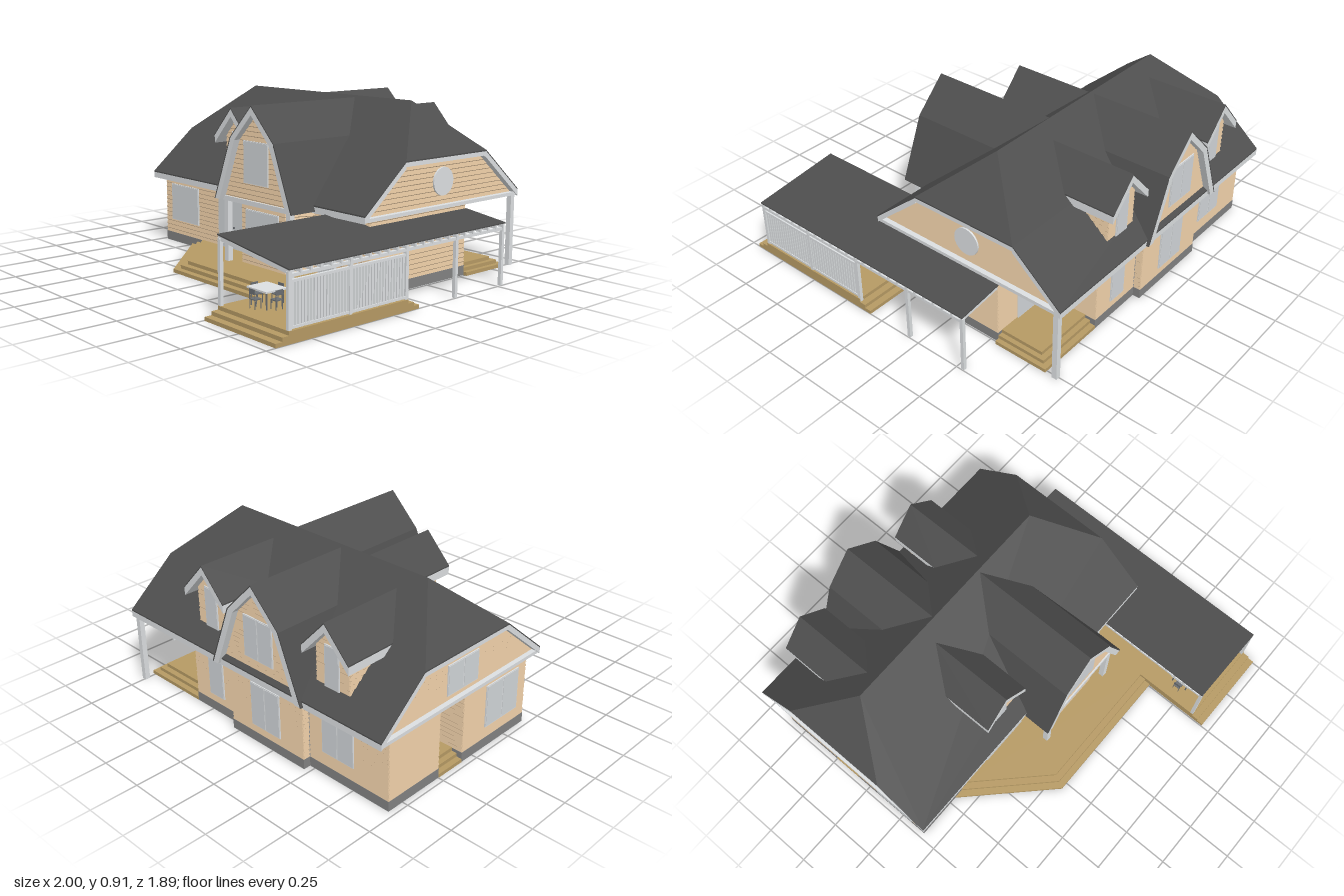
import * as THREE from 'three';

const mat = (name, color) => Object.assign(new THREE.MeshStandardMaterial({ color }), { name });

export function createModel() {
  const siding = mat('tan siding', 0xe6c8a2), trim = mat('pale trim', 0xdcdfe1), glass = mat('window glass', 0xd2d6d9);
  const roofMat = mat('dark roof', 0x4e4e4e), wood = mat('deck wood', 0xb69a64);
  const stone = mat('foundation grey', 0x828282), dark = mat('dark metal', 0x6a6e72);
  const house = new THREE.Group();
  house.name = 'house';

  const add = (name, geo, m, parent = house) => {
    const mesh = new THREE.Mesh(geo, m);
    mesh.name = name;
    parent.add(mesh);
    return mesh;
  };
  const group = (name, x, y, z, rot = 0, parent = house) => {
    const g = new THREE.Group();
    g.name = name;
    g.position.set(x, y, z);
    g.rotation.y = rot;
    parent.add(g);
    return g;
  };
  const facets = out => {
    const geo = new THREE.BufferGeometry().setAttribute('position', new THREE.Float32BufferAttribute(out, 3));
    geo.computeVertexNormals();
    return geo;
  };
  // box given by its min and max corners
  const box = (x0, x1, y0, y1, z0, z1) =>
    new THREE.BoxGeometry(x1 - x0, y1 - y0, z1 - z0).translate((x0 + x1) / 2, (y0 + y1) / 2, (z0 + z1) / 2);
  // plan outline (x, z) raised from y0 to y1
  const prism = (pts, y0, y1) =>
    new THREE.ExtrudeGeometry(new THREE.Shape(pts.map(([x, z]) => new THREE.Vector2(x, -z))),
      { depth: y1 - y0, bevelEnabled: false }).rotateX(-Math.PI / 2).translate(0, y0, 0);

  // lapped-board wall, convex outline in its own x/y plane, facing local +z
  const wall = (name, pts, x, z, rot, parent = house) => {
    const ys = pts.map(p => p[1]), lo = Math.min(...ys) + 1e-5, hi = Math.max(...ys) - 1e-5;
    const row = (y, depth) => {
      y = Math.min(Math.max(y, lo), hi);
      const xs = [];
      pts.forEach((a, i) => {
        const b = pts[(i + 1) % pts.length];
        if ((a[1] > y) !== (b[1] > y)) xs.push(a[0] + (b[0] - a[0]) * (y - a[1]) / (b[1] - a[1]));
      });
      return [[Math.min(...xs), y, depth], [Math.max(...xs), y, depth]];
    };
    const rows = [], out = [];
    for (let y = lo; y < hi; y += 0.025) rows.push(row(y, 0), row(y + 0.021, -0.004));
    rows.push(row(hi, 0));
    for (let i = 1; i < rows.length; i++) {
      const [a, b] = rows[i - 1], [d, c] = rows[i];
      if (c[1] > b[1]) out.push(...a, ...b, ...c, ...a, ...c, ...d);
    }
    add(name, facets(out), siding, group(name, x, 0, z, rot, parent));
  };

  // window or door: frame, panes, all facing local +z
  const opening = (name, x, y0, y1, z, rot, w, panes = 1, parent = house) => {
    const g = group(name, x, 0, z, rot, parent);
    add('frame', box(-w / 2, w / 2, y0, y1, 0, 0.006), trim, g);
    const pw = w / panes;
    for (let i = 0; i < panes; i++) {
      const c = -w / 2 + pw * (i + 0.5);
      add('pane', box(c - pw / 2 + 0.004, c + pw / 2 - 0.004, y0 + 0.005, y1 - 0.005, 0.005, 0.008), glass, g);
    }
    return g;
  };

  // slab: convex polygon swept along an offset vector
  const slab = (name, pts, off, m, parent) => {
    const p = pts.map(a => new THREE.Vector3(...a));
    const o = new THREE.Vector3(...off);
    const n = p[1].clone().sub(p[0]).cross(p[2].clone().sub(p[0]));
    if (n.dot(o) > 0) p.reverse();
    const q = p.map(a => a.clone().add(o)), out = [];
    const tri = (...v) => v.forEach(a => out.push(a.x, a.y, a.z));
    p.forEach((a, i) => {
      const j = (i + 1) % p.length;
      if (i > 0 && i < p.length - 1) { tri(p[0], a, p[j]); tri(q[0], q[j], q[i]); }
      tri(a, q[i], q[j]);
      tri(a, q[j], p[j]);
    });
    add(name, facets(out), m, parent);
  };
  // dark covering over a pale board
  const roofPlane = (name, pts, dir, t, parent = house) => {
    slab(name, pts, dir.map(d => d * 0.007), roofMat, parent);
    slab(name + ' edge', pts.map(p => p.map((c, i) => c + dir[i] * 0.007)), dir.map(d => d * t), trim, parent);
  };
  const down = [0, -1, 0];

  // walls round the plan, with foundation and pale underside
  const plan = [[-0.97, 0.155], [-0.115, 0.155], [-0.055, 0.3], [0.295, 0.3], [0.355, 0.155], [0.745, 0.155],
    [0.745, -0.54], [0.37, -0.54], [0.37, -0.845], [0.04, -0.845], [0.04, -0.885], [-0.47, -0.885],
    [-0.47, -0.845], [-0.97, -0.845], [-0.97, -0.5], [-0.82, -0.5], [-0.82, -0.33], [-0.97, -0.33]];
  plan.forEach(([x, z], i) => {
    const [x2, z2] = plan[(i + 1) % plan.length], len = Math.hypot(x2 - x, z2 - z);
    wall('wall', [[0, 0.05], [len, 0.05], [len, 0.395], [0, 0.395]], x, z, Math.atan2(z - z2, x2 - x));
  });
  const base = plan.filter((p, i) => i < 1 || i > 4);
  add('foundation', prism(base, 0.002, 0.054), stone);
  add('floorUnderside', prism(base, 0, 0.002), trim);

  // main roof with clipped gables
  const L = -1, R = 0.777, E = 0.42, H = 0.654, T = 0.91, ridgeZ = -0.355;
  const mirrorZ = z => 2 * ridgeZ - z;
  for (const f of [z => z, mirrorZ])
    roofPlane('mainRoof', [[L, E, f(0.22)], [R, E, f(0.22)], [R, H, f(-0.055)], [0.525, T, ridgeZ],
      [-0.75, T, ridgeZ], [L, H, f(-0.055)]], down, 0.032);
  for (const [x, rx, wx, s] of [[L, -0.75, -0.97, -1], [R, 0.525, 0.745, 1]]) {
    roofPlane('hipEnd', [[x, H, -0.055], [x, H, -0.655], [rx, T, ridgeZ]], down, 0.022);
    wall('endGable', [[-0.56, 0.4], [0.56, 0.4], [0.285, 0.64], [-0.285, 0.64]], wx, ridgeZ, s * Math.PI / 2);
  }
  add('soffit', box(L + 0.005, R - 0.005, 0.385, 0.403, -0.92, 0.215), trim);
  add('roundWindow', new THREE.CylinderGeometry(0.073, 0.073, 0.009, 24).rotateZ(Math.PI / 2).translate(0.75, 0.52, ridgeZ), trim);

  // depth at which a dormer plane runs into the main roof
  const hit = y => Math.min(0.22 - (y - E) / 0.852, 0.22) - 0.01;

  // small gabled dormers
  const dormer = (cx, back) => {
    const g = group('dormer', cx, 0, back ? 2 * ridgeZ : 0, back ? Math.PI : 0);
    for (const s of [-1, 1]) {
      roofPlane('dormerRoof', [[0, 0.845, 0.185], [s * 0.145, 0.69, 0.185], [s * 0.145, 0.69, hit(0.69)],
        [0, 0.845, hit(0.845)]], down, 0.042, g);
      wall('dormerSide', [[-0.12, 0.45], [0.12, 0.45], [0.12, 0.69], [-0.12, 0.69]], s * 0.105, 0.015, s * Math.PI / 2, g);
    }
    wall('dormerFront', [[-0.105, 0.45], [0.105, 0.45], [0.105, 0.69], [0, 0.8], [-0.105, 0.69]], 0, 0.135, 0, g);
    opening('dormerWindow', 0, 0.495, 0.71, 0.136, 0, 0.09, 1, g);
  };
  dormer(-0.295, false);
  dormer(-0.63, true);
  dormer(0.2, true);

  // large double-pitched gables, front and back
  const bigGable = (cx, zf, back) => {
    const g = group('bigGable', cx, 0, back ? 2 * ridgeZ : 0, back ? Math.PI : 0);
    for (const s of [-1, 1]) {
      const k = s * 0.175, e = s * 0.31;
      roofPlane('upperSlope', [[0, 0.9, zf], [k, 0.725, zf], [k, 0.725, hit(0.725)], [0, 0.9, hit(0.9)]], down, 0.042, g);
      roofPlane('lowerSlope', [[k, 0.725, zf], [e, 0.39, zf], [e, 0.39, hit(0.39)], [k, 0.725, hit(0.725)]], [-s, 0, 0], 0.035, g);
    }
    wall('gableFront', [[-0.285, 0.39], [0.285, 0.39], [0.15, 0.715], [0, 0.86], [-0.15, 0.715]], 0, zf - 0.035, 0, g);
    opening('gableWindow', 0, 0.495, 0.715, zf - 0.034, 0, 0.195, back ? 2 : 1, g);
    add('gableBand', box(-0.275, 0.275, 0.383, 0.408, 0.15, zf - 0.028), trim, g);
  };
  bigGable(0.12, 0.375, false);
  bigGable(-0.215, 0.235, true);

  // windows and doors
  opening('frontWindow', -0.77, 0.135, 0.35, 0.156, 0, 0.265);
  opening('bayWindow', 0.118, 0.135, 0.35, 0.301, 0, 0.265);
  opening('smallWindow', 0.612, 0.165, 0.31, 0.156, 0, 0.115);
  opening('sideDoor', 0.447, 0.057, 0.348, 0.156, 0, 0.125);
  const door = opening('frontDoor', -0.297, 0.057, 0.348, 0.156, 0, 0.295, 1);
  for (const x of [-0.072, 0.072]) add('doorLeafEdge', box(x - 0.001, x + 0.001, 0.06, 0.345, 0.006, 0.009), trim, door);
  add('doorHandle', box(-0.003, 0.006, 0.175, 0.185, 0.006, 0.016), dark, door);
  opening('backWindow', -0.215, 0.1, 0.34, -0.886, Math.PI, 0.2, 2);
  opening('backWindow', -0.66, 0.13, 0.34, -0.846, Math.PI, 0.2, 2);
  opening('backWindow', 0.2, 0.1, 0.34, -0.846, Math.PI, 0.11);
  opening('porchDoor', 0.53, 0.057, 0.34, -0.541, Math.PI, 0.14);
  opening('leftWindow', -0.971, 0.12, 0.35, -0.04, -Math.PI / 2, 0.25, 2);
  opening('leftDoor', -0.821, 0.057, 0.34, -0.415, -Math.PI / 2, 0.1);
  opening('leftGableWindow', -0.971, 0.43, 0.59, ridgeZ, -Math.PI / 2, 0.22, 2);

  // stepped decks
  for (let i = 0; i < 3; i++) {
    const y0 = i * 0.019, y1 = y0 + 0.019, d = i * 0.037;
    add('frontDeck', prism([[-0.71 + i * 0.05, 0.156], [-0.29 + i * 0.015, 0.575 - i * 0.035],
      [0.505, 0.575 - i * 0.035], [0.505, 0.156]], y0, y1), wood);
    add('patioDeck', prism([[0.505, 0.156], [0.505, 0.95 - d], [1, 0.95 - d], [1, 0.08 + d],
      [0.747, 0.08 + d], [0.747, 0.156]], y0, y1), wood);
    add('backPorchDeck', box(0.37, 0.765 - i * 0.025, y0, y1, -0.845 + i * 0.03, -0.54), wood);
    add('leftStep', box(-0.97 + i * 0.03, -0.82, y0, y1, -0.5, -0.33), wood);
  }

  // porch columns
  const column = (x, z, y0, y1, r) => add('column', box(x - r, x + r, y0, y1, z - r, z + r), trim);
  column(-0.13, 0.33, 0.057, 0.39, 0.015);
  column(0.37, 0.33, 0.057, 0.39, 0.015);
  column(0.755, -0.9, 0, 0.4, 0.014);

  // lean-to patio roof on rafters, beams and posts
  const slope = x => 0.388 - (x - 0.505) * 0.13;
  const lean = (x0, z0, z1) => slab('patioRoof', [[x0, slope(x0), z0], [1, slope(1), z0],
    [1, slope(1), z1], [x0, slope(x0), z1]], [0, -0.006, 0], roofMat, house);
  lean(0.505, 0.156, 0.875);
  lean(0.746, -0.545, 0.156);
  for (let i = 0; i <= 24; i++) {
    const z = -0.54 + i * 0.0583, x0 = z < 0.16 ? 0.746 : 0.506;
    slab('rafter', [[x0, slope(x0) - 0.006, z], [0.998, slope(0.998) - 0.006, z],
      [0.998, slope(0.998) - 0.006, z + 0.012], [x0, slope(x0) - 0.006, z + 0.012]], [0, -0.022, 0], trim, house);
  }
  add('outerBeam', box(0.978, 0.995, 0.285, 0.3, -0.54, 0.875), trim);
  add('innerBeam', box(0.507, 0.52, 0.345, 0.36, 0.16, 0.875), trim);
  [0.866, 0.515, 0.16, -0.185, -0.535].forEach(z => column(0.987, z, 0, 0.31, 0.009));
  column(0.515, 0.866, 0.05, 0.37, 0.009);
  column(0.515, 0.17, 0.05, 0.37, 0.009);

  // slatted screen along the patio
  for (let z = 0.18; z < 0.855; z += 0.018) add('slat', box(0.983, 0.991, 0.06, 0.265, z - 0.006, z + 0.006), trim);
  for (const y of [0.062, 0.262]) add('screenRail', box(0.98, 0.994, y, y + 0.012, 0.16, 0.866), trim);

  // patio table and chairs
  const table = group('table', 0.65, 0.057, 0.71);
  add('tableTop', box(-0.07, 0.07, 0.08, 0.088, -0.06, 0.06), trim, table);
  for (const x of [-0.055, 0.055]) for (const z of [-0.045, 0.045])
    add('tableLeg', box(x - 0.003, x + 0.003, 0, 0.08, z - 0.003, z + 0.003), dark, table);
  for (let i = 0; i < 4; i++) {
    const a = i * Math.PI / 2, r = i % 2 ? 0.07 : 0.065;
    const chair = group('chair', Math.sin(a) * r, 0, Math.cos(a) * r, a, table);
    add('seat', box(-0.02, 0.02, 0.042, 0.047, -0.02, 0.02), dark, chair);
    add('chairBack', box(-0.02, 0.02, 0.068, 0.092, 0.017, 0.02), dark, chair);
    for (const x of [-0.018, 0.018]) for (const z of [-0.018, 0.018])
      add('chairLeg', box(x - 0.0015, x + 0.0015, 0, z > 0 ? 0.092 : 0.045, z - 0.0015, z + 0.0015), dark, chair);
  }

  // patio sofa
  const sofa = group('sofa', 0.92, 0.057, 0.47);
  add('sofaSeat', box(-0.05, 0.05, 0, 0.07, -0.12, 0.12), stone, sofa);
  add('sofaBack', box(0.032, 0.052, 0, 0.145, -0.12, 0.12), stone, sofa);
  for (const z of [-0.12, 0.1]) add('sofaArm', box(-0.055, 0.04, 0, 0.115, z, z + 0.02), stone, sofa);

  return house;
}
